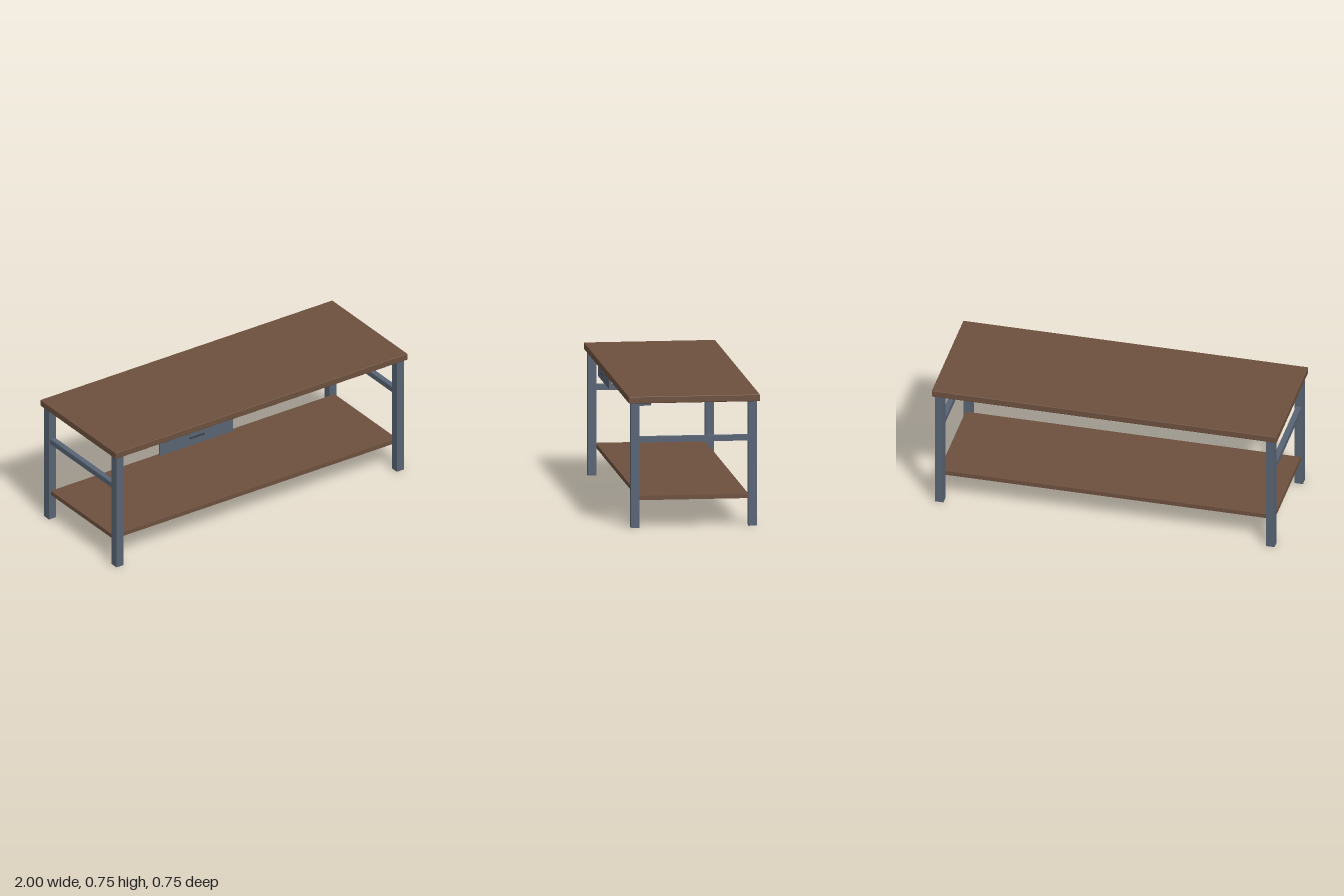
import * as THREE from 'three';
import { RoundedBoxGeometry } from 'three/addons/geometries/RoundedBoxGeometry.js';

export function createModel() {
  const model = new THREE.Group();
  model.name = 'workbench';

  const material = (name, color) => {
    const m = new THREE.MeshStandardMaterial({ color });
    m.name = name;
    return m;
  };
  const wood = material('brown wood', 0x6d503e);
  const steel = material('slate steel', 0x586474);
  const darkSteel = material('dark steel', 0x38414c);

  // Box given by its lower and upper corners
  const box = (name, mat, [x0, y0, z0], [x1, y1, z1]) => {
    const mesh = new THREE.Mesh(new THREE.BoxGeometry(x1 - x0, y1 - y0, z1 - z0), mat);
    mesh.position.set((x0 + x1) / 2, (y0 + y1) / 2, (z0 + z1) / 2);
    mesh.name = name;
    model.add(mesh);
    return mesh;
  };

  // Worktop with slightly eased edges
  const top = new THREE.Mesh(new RoundedBoxGeometry(2, 0.039, 0.745, 2, 0.004), wood);
  top.position.y = 0.7305;
  top.name = 'worktop';
  model.add(top);

  // Lower shelf fitted between the front and back legs
  box('lowerShelf', wood, [-0.972, 0.156, -0.31], [0.972, 0.181, 0.31]);

  // Square legs and the side rails joining them
  for (const side of [-1, 1]) {
    const x = side * 0.96;
    for (const end of [-1, 1]) {
      const z = end * 0.3335;
      box((end > 0 ? 'front' : 'back') + (side > 0 ? 'LeftLeg' : 'RightLeg'), steel,
        [x - 0.024, 0, z - 0.024], [x + 0.024, 0.711, z + 0.024]);
    }
    box(side > 0 ? 'leftRail' : 'rightRail', steel,
      [x - 0.016, 0.485, -0.31], [x + 0.016, 0.517, 0.31]);
  }

  // Drawer front with a slim pull
  box('drawerFront', steel, [-0.67, 0.61, 0.323], [-0.17, 0.711, 0.335]);
  box('drawerPull', darkSteel, [-0.47, 0.656, 0.335], [-0.37, 0.664, 0.344]);

  // Small box fixed under the worktop beside the front left leg
  box('underTopBox', steel, [0.833, 0.693, 0.242], [0.967, 0.709, 0.342]);

  return model;
}
